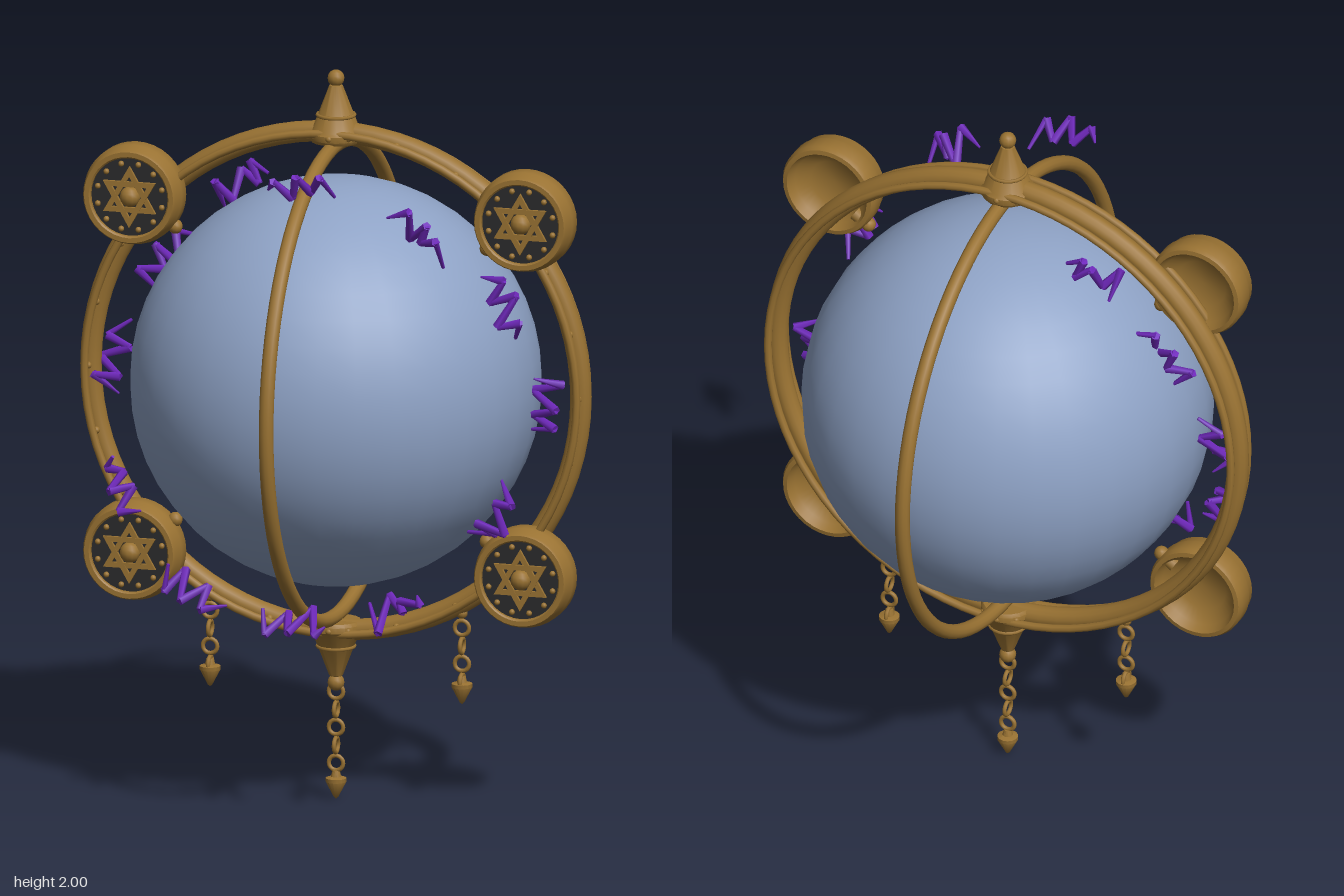
import * as THREE from 'three';
import { toCreasedNormals } from 'three/addons/utils/BufferGeometryUtils.js';

const mat = (name, color) => {
  const m = new THREE.MeshStandardMaterial({ color });
  m.name = name;
  return m;
};

export function createModel() {
  const brass = mat('brass', 0x997232);
  const glass = mat('slateBlue', 0x8ea2c5);
  const violet = mat('violet', 0x7029bd);
  const dark = mat('darkInlay', 0x2a2a2c);
  const CY = 1.148, R = 0.681;
  const model = new THREE.Group();
  model.name = 'armillaryOrb';

  const add = (parent, name, geo, m, x = 0, y = 0, z = 0) => {
    const mesh = new THREE.Mesh(geo, m);
    mesh.name = name;
    mesh.position.set(x, y, z);
    parent.add(mesh);
    return mesh;
  };
  const group = (name, x = 0, y = 0, z = 0) => {
    const g = new THREE.Group();
    g.name = name;
    g.position.set(x, y, z);
    model.add(g);
    return g;
  };
  const lathe = (pts, seg) => toCreasedNormals(
    new THREE.LatheGeometry(pts.map(p => new THREE.Vector2(p[0], p[1])), seg), 0.6);
  const bead = r => new THREE.SphereGeometry(r, 12, 8);
  // Tapered rod between two points
  const rod = (parent, name, a, b, r0, r1, sides, m) => {
    const d = b.clone().sub(a);
    const mesh = add(parent, name, new THREE.CylinderGeometry(r1, r0, d.length(), sides), m);
    mesh.position.copy(a).addScaledVector(d, 0.5);
    mesh.quaternion.setFromUnitVectors(new THREE.Vector3(0, 1, 0), d.normalize());
  };

  add(model, 'orb', new THREE.SphereGeometry(0.55, 32, 24), glass, 0, CY, 0);

  // Rings
  add(model, 'mainRing', new THREE.TorusGeometry(R, 0.029, 14, 80), brass, 0, CY, 0);
  for (const z of [-0.052, 0.052])
    add(model, 'trimRing', new THREE.TorusGeometry(R + 0.003, 0.011, 8, 80), brass, 0, CY, z);
  add(model, 'crossRing', new THREE.TorusGeometry(0.644, 0.02, 12, 80), brass, 0, CY, 0).rotation.y = Math.PI / 2;
  for (let i = 0; i < 24; i++) {
    const a = i * Math.PI / 12;
    add(model, 'ringStud', bead(0.01), brass, R * Math.cos(a), CY + R * Math.sin(a), 0.028);
  }

  // Finials above and below: straight cones with a banded foot
  const spire = lathe([[0, 0.655], [0.066, 0.655], [0.072, 0.664], [0.072, 0.68], [0.064, 0.688],
    [0.018, 0.808], [0, 0.815]], 20);
  for (const s of [1, -1]) {
    const g = group(s > 0 ? 'topFinial' : 'bottomFinial', 0, CY, 0);
    if (s < 0) g.rotation.x = Math.PI;
    add(g, 'spire', spire, brass);
    add(g, 'tipBall', bead(0.023), brass, 0, 0.827, 0);
    add(g, 'spireBand', new THREE.TorusGeometry(0.05, 0.005, 6, 20), brass, 0, 0.727, 0).rotation.x = Math.PI / 2;
    for (let i = 0; i < 8; i++) {
      const a = i * Math.PI / 4;
      add(g, 'footBead', bead(0.009), brass, 0.067 * Math.cos(a), 0.674, 0.067 * Math.sin(a));
    }
  }

  // Medallions on the diagonals: hollow-backed cups with a star inlay
  const cup = lathe([[0, 0.07], [0.07, 0.064], [0.105, 0.04], [0.118, 0.016], [0.13, 0.018], [0.136, 0.03], [0.136, 0.072],
    [0.131, 0.082], [0.128, 0.106], [0.124, 0.112], [0.111, 0.112], [0.107, 0.108], [0.107, 0.096], [0, 0.096]], 36);
  const tri = (r) => [0, 1, 2].map(i => {
    const a = Math.PI / 2 + i * Math.PI * 2 / 3;
    return new THREE.Vector2(r * Math.cos(a), r * Math.sin(a));
  });
  const triShape = new THREE.Shape(tri(0.084));
  triShape.holes.push(new THREE.Path(tri(0.056)));
  const triGeo = new THREE.ExtrudeGeometry(triShape, { depth: 0.009, bevelEnabled: false });
  for (const sx of [1, -1]) for (const sy of [1, -1]) {
    const g = group('medallion', sx * 0.543, CY + sy * 0.487, 0);
    add(g, 'cup', cup, brass).rotation.x = Math.PI / 2;
    add(g, 'inlay', new THREE.CircleGeometry(0.108, 36), dark, 0, 0, 0.098);
    add(g, 'starUp', triGeo, brass, 0, 0, 0.098);
    add(g, 'starDown', triGeo, brass, 0, 0, 0.099).rotation.z = Math.PI;
    add(g, 'boss', bead(0.028), brass, 0, 0, 0.098);
    for (let i = 0; i < 12; i++) {
      const a = (i + 0.5) * Math.PI / 6;
      add(g, 'inlayBead', bead(0.008), brass, 0.092 * Math.cos(a), 0.092 * Math.sin(a), 0.1);
    }
    // Bracket pointing to the orb
    const tip = new THREE.Vector3(-sx * 0.11, -sy * 0.086, 0.045);
    rod(g, 'bracket', new THREE.Vector3(-sx * 0.07, -sy * 0.06, 0.045), tip, 0.02, 0.018, 8, brass);
    add(g, 'bracketKnob', bead(0.02), brass, tip.x, tip.y, tip.z);
  }

  // Hanging chains with drops
  const link = new THREE.TorusGeometry(0.02, 0.006, 8, 18);
  const drop = lathe([[0, -0.055], [0.006, -0.05], [0.028, -0.008], [0.028, 0.002],
    [0.014, 0.006], [0.01, 0.022], [0, 0.025]], 14);
  const chain = (x, top, n, end) => {
    const g = group('chain', x, 0, 0);
    for (let i = 0; i < n; i++)
      add(g, 'link', link, brass, 0, top - i * 0.049, 0).rotation.y = i % 2 ? Math.PI / 2 : 0;
    add(g, 'drop', drop, brass, 0, end, 0);
  };
  chain(0, 0.296, 5, 0.057);
  for (const x of [-0.35, 0.35]) {
    chain(x, 0.494, 4, 0.34);
    add(model, 'chainEye', bead(0.016), brass, x, 0.535, 0);
  }

  // Jagged sparks around the orb
  let seed = 7;
  const rnd = () => (seed = (seed * 16807) % 2147483647) / 2147483647 - 0.5;
  const sparks = [[0.016, 1.765, 0.38], [0.33, 1.643, 0.33], [0.525, 1.437, 0.2], [0.585, 1.125, 0.02],
    [0.49, 0.84, 0.16], [0.27, 0.617, 0.34], [-0.016, 0.558, 0.37], [-0.307, 0.632, 0.34],
    [-0.545, 0.865, 0.18], [-0.614, 1.172, 0.01], [-0.487, 1.442, -0.02], [-0.286, 1.66, -0.05]];
  for (const [x, y, z] of sparks) {
    const g = group('spark', x, y, z);
    const n = new THREE.Vector3(x, y - CY, 0).normalize();
    const t = new THREE.Vector3(-n.y, n.x, 0);
    const u = n.clone().add(new THREE.Vector3(0, 0, z * 2)).normalize();
    const pts = [];
    for (let i = 0; i < 7; i++)
      pts.push(new THREE.Vector3(0, 0, rnd() * 0.08)
        .addScaledVector(t, (i - 3) * 0.03 + rnd() * 0.035)
        .addScaledVector(u, (i % 2 ? 0.036 : -0.036) + rnd() * 0.04));
    for (let i = 0; i < 6; i++)
      rod(g, 'sparkShard', pts[i], pts[i + 1], i ? 0.013 : 0.005, i < 5 ? 0.009 : 0.003, 5, violet);
  }
  return model;
}
